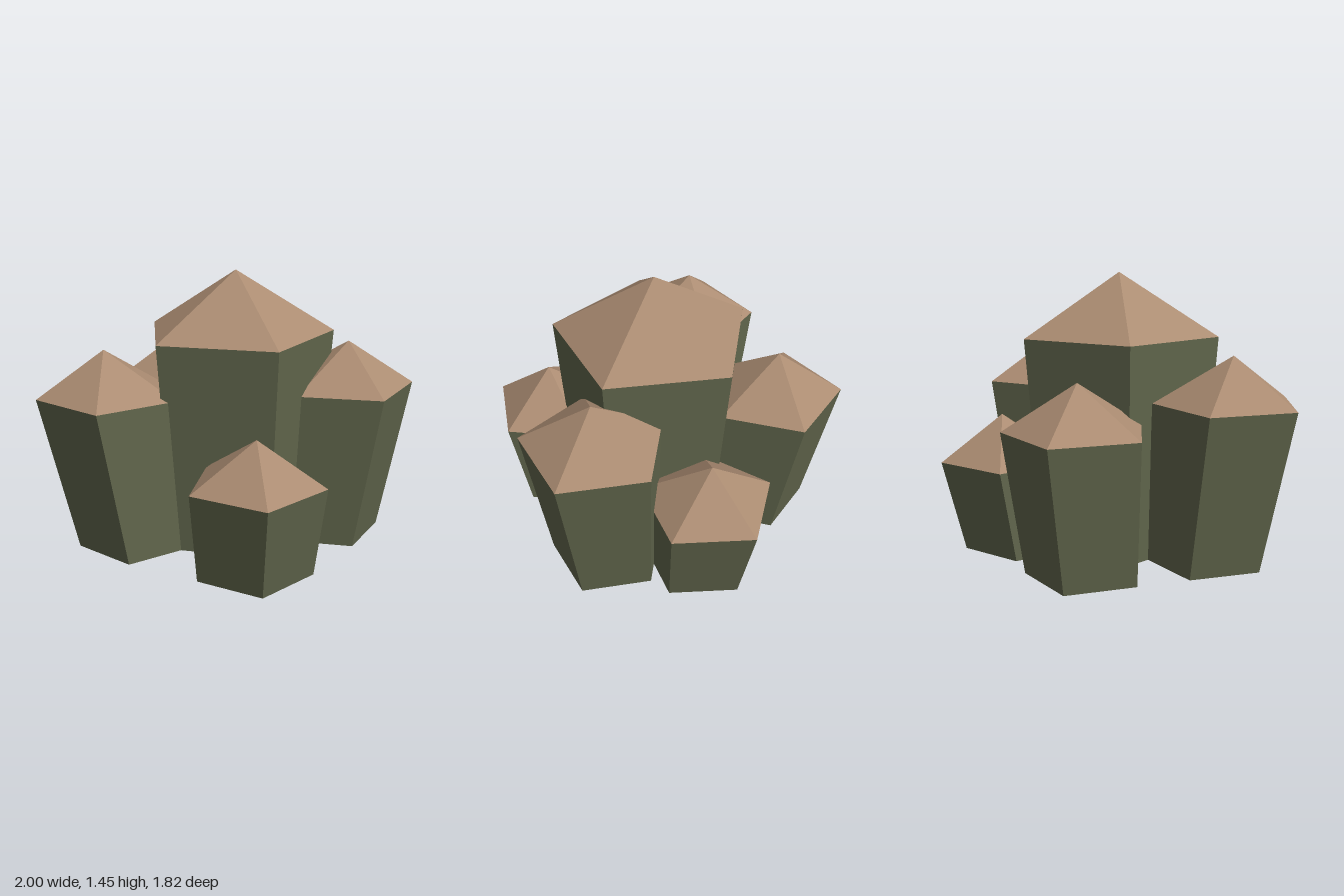
import * as THREE from 'three';

// both surfaces show, because the columns are hollow and open underneath
const stone = new THREE.MeshStandardMaterial({ color: 0x62674d, flatShading: true, side: THREE.DoubleSide });
stone.name = 'mossy green';
const crown = new THREE.MeshStandardMaterial({ color: 0xab8c72, flatShading: true, side: THREE.DoubleSide });
crown.name = 'warm brown';

// Five-sided surface through a stack of rings: [x, y, z, radius], bottom to top
function pentagonStack(rings, degrees) {
  const profile = rings.map(([, y, , r]) => new THREE.Vector2(r, y));
  const start = Math.PI / 2 - THREE.MathUtils.degToRad(degrees);
  const geometry = new THREE.LatheGeometry(profile, 5, start);
  const pos = geometry.attributes.position;
  // shift every ring to its own centre so the column leans
  for (let i = 0; i < pos.count; i++) {
    const [x, , z] = rings[i % rings.length];
    pos.setXYZ(i, pos.getX(i) + x, pos.getY(i), pos.getZ(i) + z);
  }
  const flat = geometry.toNonIndexed();
  flat.computeVertexNormals();
  return flat;
}

// One leaning, open-bottomed column with a pyramid cap
function column({ name, base, rim, tip, angle }) {
  const group = new THREE.Group();
  group.name = name;
  const shaft = new THREE.Mesh(pentagonStack([base, rim], angle), stone);
  shaft.name = name + 'Shaft';
  const cap = new THREE.Mesh(pentagonStack([rim, [...tip, 0]], angle), crown);
  cap.name = name + 'Cap';
  group.add(shaft, cap);
  return group;
}

// base and rim: [x, y, z, radius]; tip: [x, y, z]; angle: direction of a corner from +x towards +z
const columns = [
  { name: 'centreColumn', base: [0.035, 0, -0.043, 0.435], rim: [0.035, 1.12, -0.043, 0.524], tip: [0.035, 1.447, -0.043], angle: 0 },
  { name: 'frontColumn', base: [0.075, 0, 0.478, 0.308], rim: [0.077, 0.49, 0.555, 0.352], tip: [0.077, 0.727, 0.585], angle: 87.5 },
  { name: 'rightColumn', base: [-0.51, 0, 0.065, 0.31], rim: [-0.631, 0.826, 0.08, 0.374], tip: [-0.653, 1.065, 0.083], angle: 97.6 },
  { name: 'leftColumn', base: [0.53, 0, -0.033, 0.307], rim: [0.624, 0.826, -0.025, 0.376], tip: [0.637, 1.065, -0.022], angle: -2 },
  { name: 'backRightColumn', base: [-0.25, 0, -0.512, 0.305], rim: [-0.289, 0.727, -0.59, 0.367], tip: [-0.3, 0.965, -0.603], angle: 240.6 },
  { name: 'backLeftColumn', base: [0.345, 0, -0.475, 0.3], rim: [0.383, 0.473, -0.528, 0.349], tip: [0.395, 0.71, -0.548], angle: -66.8 },
];

export function createModel() {
  const model = new THREE.Group();
  model.name = 'rockCluster';
  for (const c of columns) model.add(column(c));
  return model;
}
